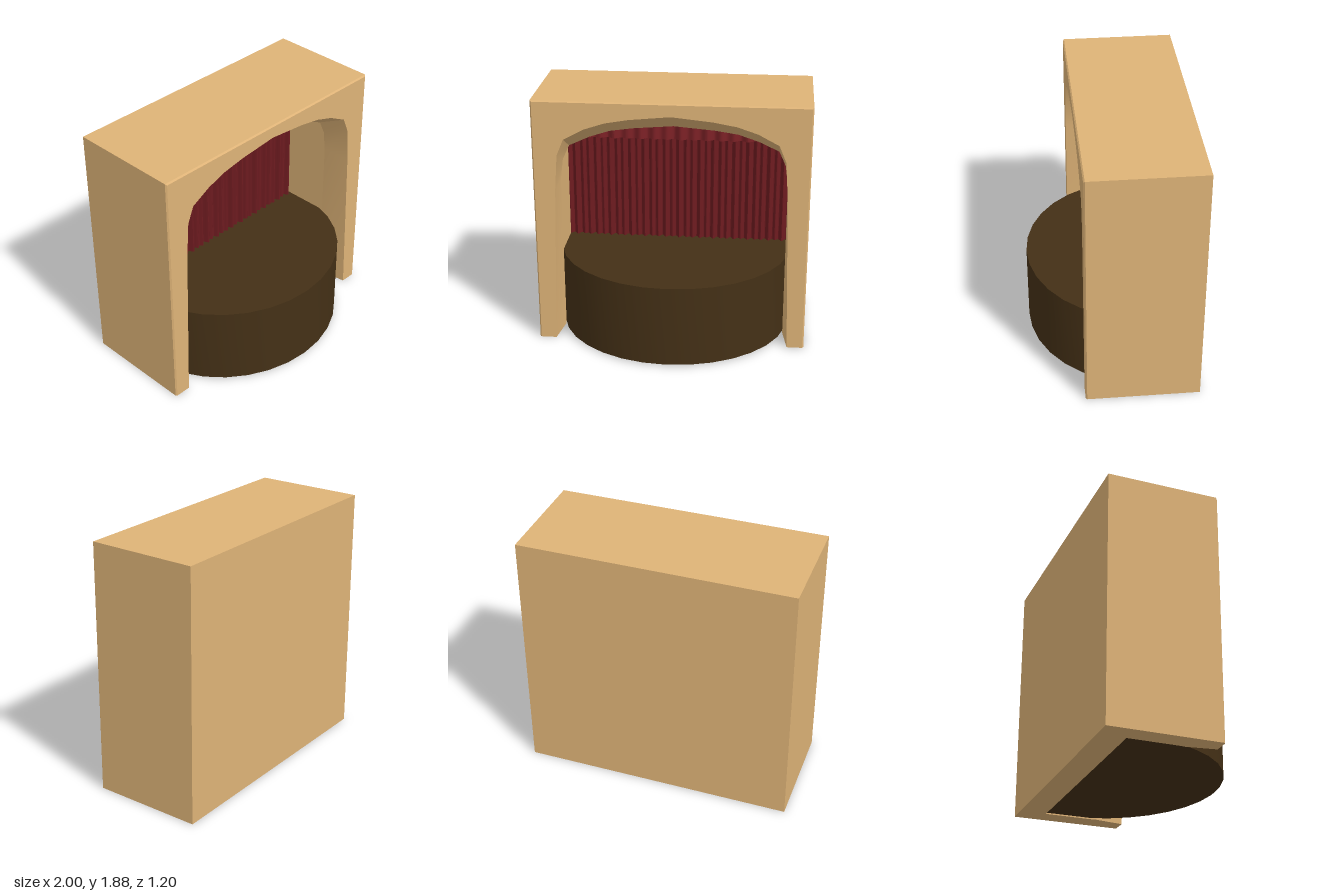
import * as THREE from 'three';
import { toCreasedNormals } from 'three/addons/utils/BufferGeometryUtils.js';

const material = (color, side = THREE.FrontSide) =>
  new THREE.MeshStandardMaterial({ color, side, roughness: 0.8 });

function addMesh(group, name, geometry, mat) {
  const mesh = new THREE.Mesh(geometry, mat);
  mesh.name = name;
  group.add(mesh);
  return mesh;
}

// Mirror a half outline (right foot to crown) into a full arch at depth z
function ring(half, z) {
  const left = half.slice(0, -1).reverse().map(([x, y]) => [-x, y]);
  return [...half, ...left].map(([x, y]) => [x, y, z]);
}

// Skin consecutive arches and close the soles of both legs
function loft(rings) {
  const pos = [];
  const tri = (a, b, c) => pos.push(...a, ...b, ...c);
  for (let j = 0; j < rings.length - 1; j++) {
    const A = rings[j], B = rings[j + 1];
    for (let i = 0; i < A.length - 1; i++) {
      tri(A[i], A[i + 1], B[i]);
      tri(A[i + 1], B[i + 1], B[i]);
    }
  }
  const right = rings.map(r => r[0]);
  const left = rings.map(r => r[r.length - 1]);
  for (let i = 1; i < rings.length - 1; i++) {
    tri(right[0], right[i], right[i + 1]);
    tri(left[0], left[i + 1], left[i]);
  }
  const geometry = new THREE.BufferGeometry();
  geometry.setAttribute('position', new THREE.Float32BufferAttribute(pos, 3));
  return toCreasedNormals(geometry, 0.5);
}

// Pleated hanging cloth: a plane pushed in and out along z
function cloth(width, bottom, top, segments, fold) {
  const geometry = new THREE.PlaneGeometry(width, top - bottom, segments, 1);
  geometry.translate(0, (top + bottom) / 2, 0);
  const p = geometry.attributes.position;
  for (let i = 0; i < p.count; i++) p.setZ(i, fold(p.getX(i)));
  return toCreasedNormals(geometry, 0.4);
}

export function createModel() {
  const group = new THREE.Group();
  const wood = material(0xdeb377);

  // Proscenium: box outside, flared arch in front, square chamber behind
  const frontArch = [[0.875, 0], [0.84, 1.2], [0.82, 1.47], [0.77, 1.59],
    [0.62, 1.67], [0.47, 1.72], [0.3, 1.75], [0, 1.78]];
  const innerArch = [[0.84, 0], [0.84, 1.2], [0.82, 1.36], [0.77, 1.47],
    [0.62, 1.54], [0.47, 1.59], [0.3, 1.615], [0, 1.64]];
  const square = (w, h) => frontArch.map(([x, y], i) => [i < 4 ? w : x, i < 3 ? y : h]);
  const outer = square(1, 1.875);
  const chamber = square(0.845, 1.72);
  addMesh(group, 'prosceniumArch', loft([
    ring(outer, -0.4),
    ring(outer, 0.22),
    ring(square(0.99, 1.865), 0.23),
    ring(frontArch, 0.23),
    ring(innerArch, 0),
    ring(chamber, 0),
    ring(chamber, -0.4),
  ]), wood);

  // Solid back wall
  const back = new THREE.BoxGeometry(2, 1.875, 0.2);
  back.translate(0, 0.9375, -0.5);
  addMesh(group, 'backWall', back, wood);

  // Stage: half ellipse with a straight back
  const plan = new THREE.Shape();
  plan.moveTo(-0.87, 0.4);
  for (let i = 0; i <= 16; i++) {
    const a = Math.PI * i / 16;
    plan.lineTo(-0.87 * Math.cos(a), 0.22 - 0.815 * Math.sin(a));
  }
  plan.lineTo(0.87, 0.4);
  const stage = new THREE.ExtrudeGeometry(plan, { depth: 0.61, bevelEnabled: false });
  stage.rotateX(-Math.PI / 2);
  stage.translate(0, 0.01, 0);
  addMesh(group, 'stageFloor', toCreasedNormals(stage, 0.5), material(0x443016));

  // Curtain with tight uneven pleats, and a valance over its top
  const curtain = cloth(1.69, 0.61, 1.7, 320, x =>
    -0.36 + 0.014 * Math.sin(x * 118) + 0.008 * Math.sin(x * 71 + 1));
  addMesh(group, 'curtain', curtain, material(0x6e1b20, THREE.DoubleSide));

  const valance = cloth(1.69, 1.43, 1.7, 200, x =>
    -0.32 + 0.012 * Math.sin(x * 62) + 0.005 * Math.sin(x * 37));
  addMesh(group, 'valance', valance, material(0x7c2126, THREE.DoubleSide));

  return group;
}
